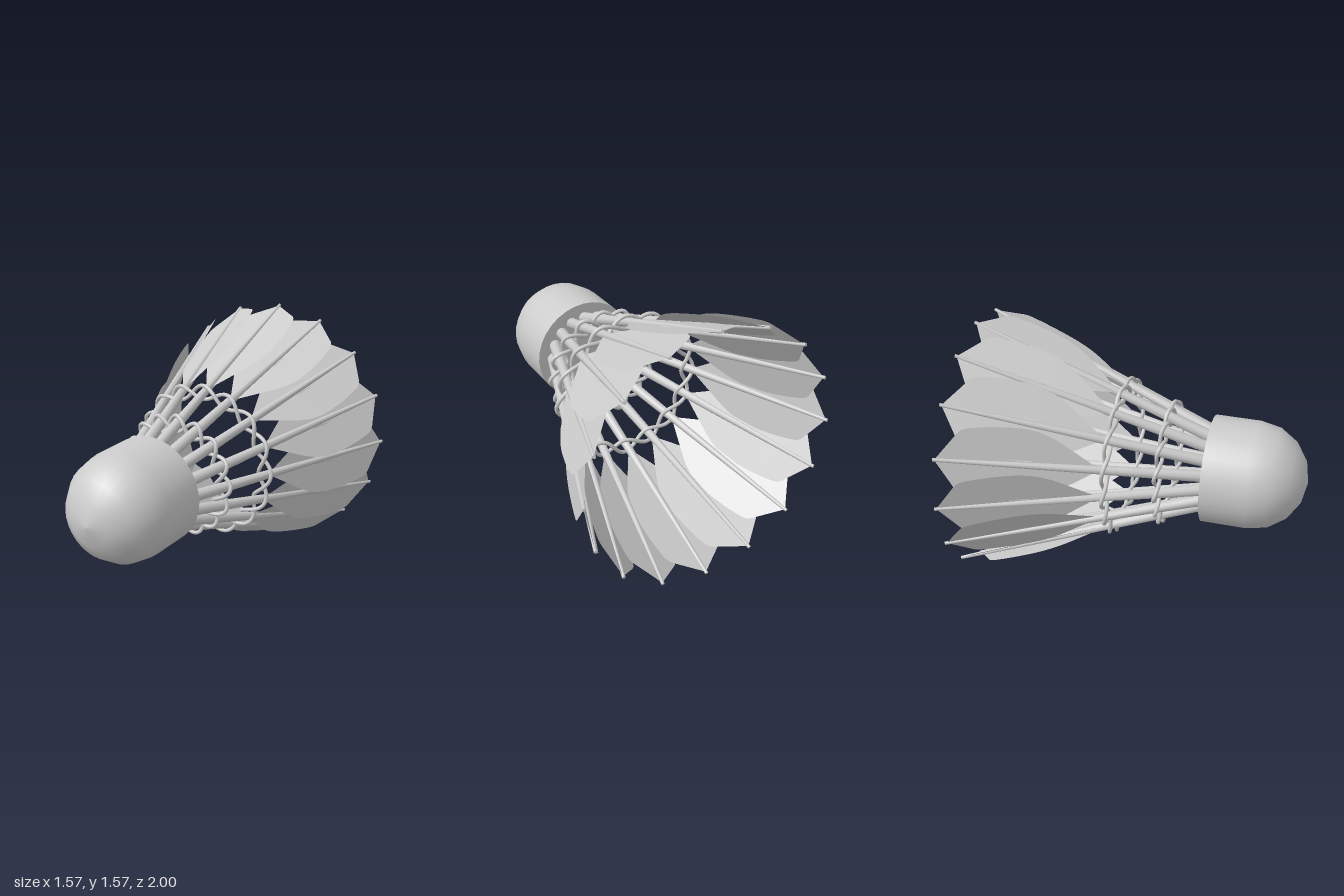
import * as THREE from 'three';

const COUNT = 16;        // feathers around the skirt
const CENTRE_Y = 0.797;  // height of the long axis

// quill line in (z, radius): from inside the cork to the skirt rim
const START = { z: 0.5, r: 0.19 };
const END = { z: -0.995, r: 0.778 };
const quillRadiusAt = (z) => START.r + (END.r - START.r) * (START.z - z) / (START.z - END.z);

export function createModel() {
  const model = new THREE.Group();
  model.name = 'shuttlecock';
  const solid = new THREE.MeshStandardMaterial({ color: 0xcccccc });
  const thin = new THREE.MeshStandardMaterial({ color: 0xcccccc, side: THREE.DoubleSide });

  const body = new THREE.Group();
  body.name = 'body';
  body.position.y = CENTRE_Y;
  model.add(body);

  const add = (parent, name, geometry, material) => {
    const mesh = new THREE.Mesh(geometry, material);
    mesh.name = name;
    parent.add(mesh);
    return mesh;
  };

  // cork: straight wall with a round nose
  const R = 0.32;
  const profile = [new THREE.Vector2(R, 0.415)];
  for (let i = 0; i <= 4; i++) {
    const a = (i / 4) * Math.PI / 2;
    profile.push(new THREE.Vector2(i === 4 ? 0 : R * Math.cos(a), 0.68 + R * Math.sin(a)));
  }
  add(body, 'cork', new THREE.LatheGeometry(profile, 32), solid).rotation.x = Math.PI / 2;
  const back = add(body, 'corkBack', new THREE.CircleGeometry(R, 32), solid);
  back.position.z = 0.415;
  back.rotation.y = Math.PI;

  // feather parts, built along local +y with +z facing outward
  const length = Math.hypot(START.z - END.z, END.r - START.r);
  const lean = Math.atan2(END.z - START.z, END.r - START.r);
  const quillGeo = new THREE.CylinderGeometry(0.01, 0.037, length, 10);
  quillGeo.translate(0, length / 2, 0);

  const vane = new THREE.Shape();
  vane.moveTo(0, 0.68);
  vane.lineTo(0.125, 0.88);
  vane.bezierCurveTo(0.19, 0.98, 0.215, 1.06, 0.217, 1.16);
  vane.bezierCurveTo(0.218, 1.27, 0.21, 1.35, 0.195, 1.43);
  vane.quadraticCurveTo(0.185, 1.47, 0.15, 1.49);
  vane.lineTo(0, length - 0.01);
  vane.lineTo(-0.15, 1.49);
  vane.quadraticCurveTo(-0.185, 1.47, -0.195, 1.43);
  vane.bezierCurveTo(-0.21, 1.35, -0.218, 1.27, -0.217, 1.16);
  vane.bezierCurveTo(-0.215, 1.06, -0.19, 0.98, -0.125, 0.88);
  vane.closePath();
  const vaneGeo = new THREE.ShapeGeometry(vane, 8);

  for (let i = 0; i < COUNT; i++) {
    const spoke = new THREE.Group();
    spoke.name = 'feather' + (i + 1);
    spoke.rotation.z = (i / COUNT) * Math.PI * 2;
    const feather = new THREE.Group();
    feather.position.set(0, START.r, START.z);
    feather.rotation.x = lean;
    add(feather, 'quill', quillGeo, solid);
    // each vane is turned a little so that it overlaps its neighbour
    add(feather, 'vane', vaneGeo, thin).rotation.y = -0.14;
    spoke.add(feather);
    body.add(spoke);
  }

  // binding cords: two strands twisted around the quills, one in and one out at each
  const addBinding = (name, z, swing) => {
    const ring = new THREE.Group();
    ring.name = name;
    const r0 = quillRadiusAt(z);
    for (const side of [1, -1]) {
      const points = [];
      for (let i = 0; i < COUNT * 6; i++) {
        const t = (i / (COUNT * 6)) * Math.PI * 2;
        const wave = t * COUNT / 2;
        const r = r0 + side * swing * Math.cos(wave);
        points.push(new THREE.Vector3(r * Math.sin(t), r * Math.cos(t), z + side * 0.014 * Math.sin(wave)));
      }
      const path = new THREE.CatmullRomCurve3(points, true);
      add(ring, 'cord', new THREE.TubeGeometry(path, COUNT * 12, 0.012, 8, true), solid);
    }
    body.add(ring);
  };
  addBinding('frontBinding', 0.17, 0.05);
  addBinding('rearBinding', -0.11, 0.042);

  return model;
}
